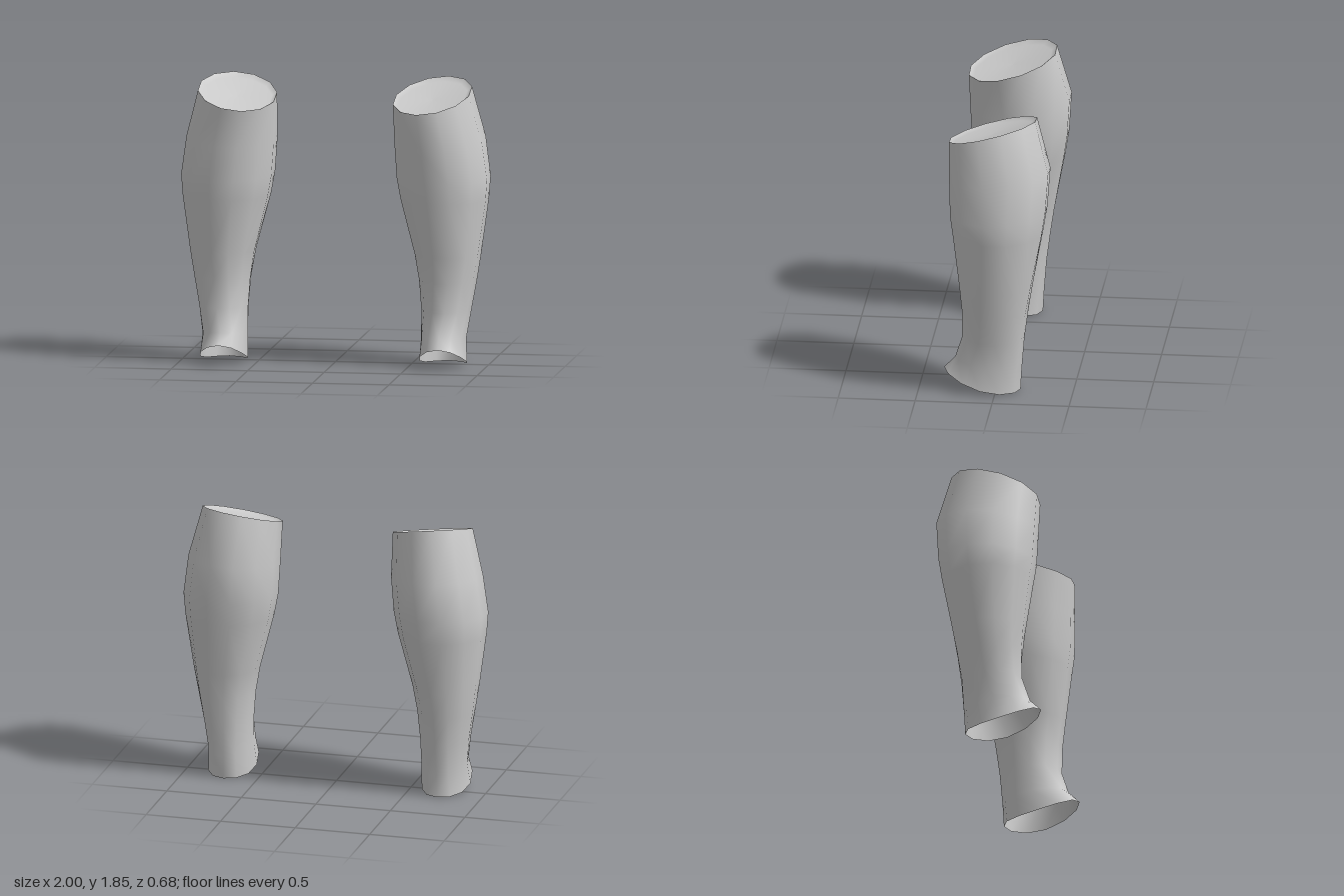
import * as THREE from 'three';

const SIDES = 12;

// Leg cross-sections, top to bottom (y is the height at z = 0):
// [y, inner x, outer x, back z, front z, slope along z, slope along x, curve along z, twist]
const SECTIONS = [
  [1.765, 0.39, 0.885, -0.25, 0.31, -0.29, 0.13, 0, 0.5],
  [1.46, 0.395, 0.965, -0.34, 0.303, -0.12, 0.05, 0, 0.5],
  [1.22, 0.41, 1.0, -0.322, 0.295, -0.06, 0, 0, 0.5],
  [1.08, 0.435, 0.99, -0.298, 0.277, -0.02, 0, 0, 0.5],
  [0.72, 0.525, 0.945, -0.233, 0.235, 0, 0, 0, 0.4],
  [0.55, 0.552, 0.92, -0.207, 0.22, 0, 0, 0, 0.3],
  [0.36, 0.566, 0.888, -0.182, 0.22, 0, 0, 0, 0.2],
  [0.17, 0.567, 0.862, -0.165, 0.268, 0.15, 0, 0, 0],
  [0.011, 0.56, 0.873, -0.157, 0.34, 0.16, 0, 0.62, 0],
];

// One ring of points; inset shrinks it toward its centre, drop lowers it
function ring([y, x0, x1, z0, z1, sz, sx, curve, twist], side, inset = 1, drop = 0) {
  const cx = (x0 + x1) / 2, cz = (z0 + z1) / 2;
  // Half-turned rings put a flat side at the extremes, so widen them to keep the size
  const grow = inset / Math.cos(twist * 2 * Math.PI / SIDES);
  return Array.from({ length: SIDES }, (_, j) => {
    const a = (j + twist) * 2 * Math.PI / SIDES;
    const dx = Math.sin(a) * grow * (x1 - x0) / 2;
    const z = cz + Math.cos(a) * grow * (z1 - z0) / 2;
    return [side * (cx + dx), y + sz * z + sx * dx + curve * z * z - drop, z];
  });
}

// Skins a list of rings, given from top to bottom, with smooth normals
function loft(rings, side) {
  const index = [];
  const tri = (a, b, c) => (side > 0 ? index.push(a, b, c) : index.push(a, c, b));
  for (let i = 0; i < rings.length - 1; i++) {
    for (let j = 0; j < SIDES; j++) {
      const k = (j + 1) % SIDES;
      const a = i * SIDES + j, b = i * SIDES + k;
      tri(a, a + SIDES, b + SIDES);
      tri(a, b + SIDES, b);
    }
  }
  const geometry = new THREE.BufferGeometry();
  geometry.setAttribute('position', new THREE.Float32BufferAttribute(rings.flat(2), 3));
  geometry.setIndex(index);
  geometry.computeVertexNormals();
  return geometry;
}

export function createModel() {
  const model = new THREE.Group();
  model.name = 'lowerLegs';
  const material = new THREE.MeshStandardMaterial({ color: 0xcccccc, side: THREE.DoubleSide });

  for (const side of [1, -1]) {
    const leg = new THREE.Group();
    leg.name = side > 0 ? 'leftLeg' : 'rightLeg';

    // Calf, shin and ankle, open at the bottom
    const shell = new THREE.Mesh(loft(SECTIONS.map((s) => ring(s, side)), side), material);
    shell.name = 'legShell';

    // Slightly sunken cap below the knee
    const top = SECTIONS[0];
    const capRings = [ring(top, side, 0.001, 0.03), ring(top, side, 0.88, 0.022), ring(top, side)];
    const cap = new THREE.Mesh(loft(capRings, side), material);
    cap.name = 'kneeCap';

    leg.add(shell, cap);
    model.add(leg);
  }
  return model;
}
